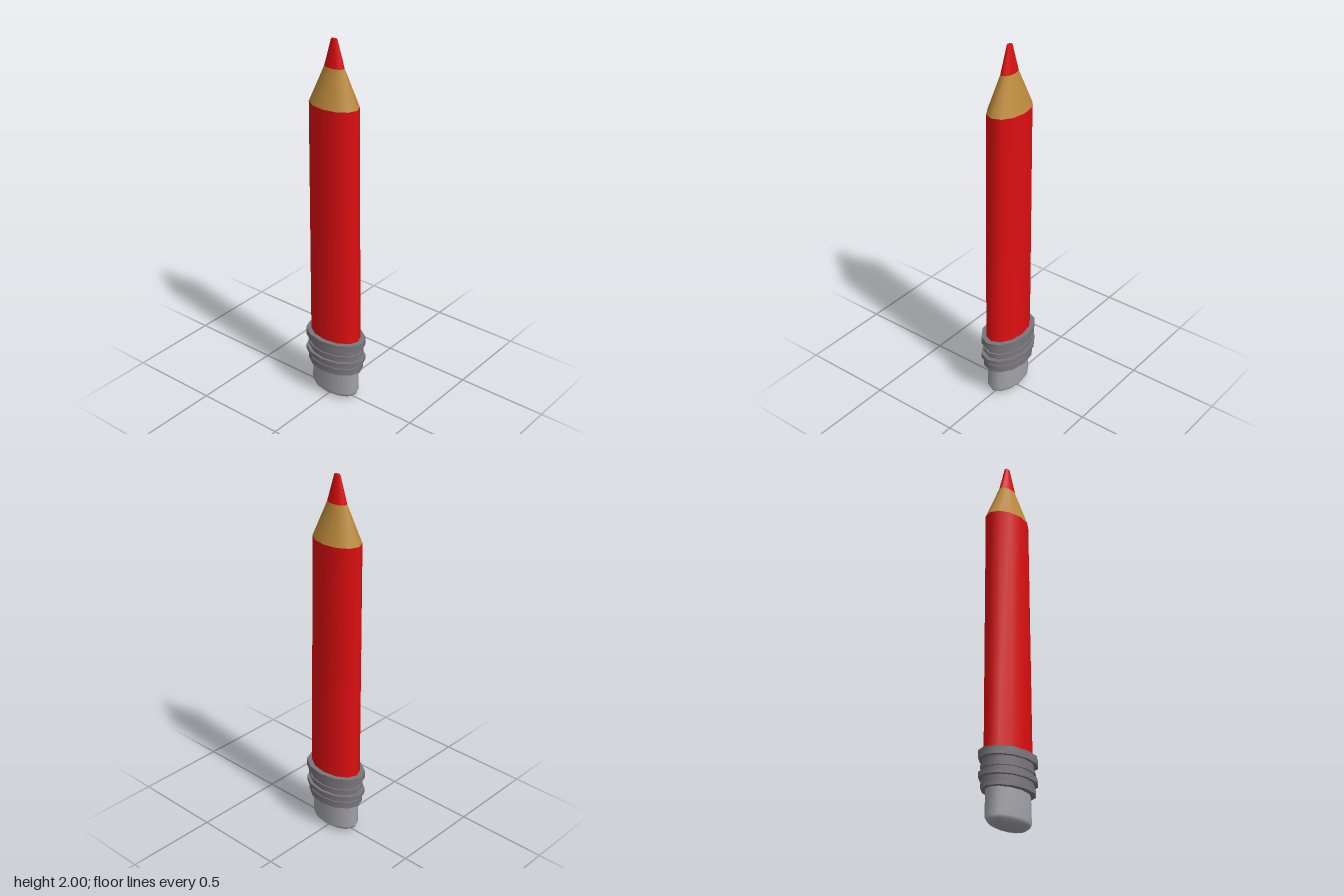
import * as THREE from 'three';
import { mergeGeometries } from 'three/addons/utils/BufferGeometryUtils.js';

const SIDES = 12;

// Smooth elliptical strip through rings [y, centreX, radiusX, radiusZ], listed bottom to top
function strip(rings) {
  const pos = [], index = [];
  for (const [y, cx, rx, rz] of rings) {
    for (let i = 0; i < SIDES; i++) {
      const a = (i / SIDES) * Math.PI * 2;
      pos.push(cx + rx * Math.cos(a), y, rz * Math.sin(a));
    }
  }
  for (let r = 0; r < rings.length - 1; r++) {
    for (let i = 0; i < SIDES; i++) {
      const j = (i + 1) % SIDES;
      const a = r * SIDES + i, b = r * SIDES + j, c = a + SIDES, d = b + SIDES;
      index.push(a, c, b, b, c, d);
    }
  }
  const g = new THREE.BufferGeometry();
  g.setAttribute('position', new THREE.Float32BufferAttribute(pos, 3));
  g.setIndex(index);
  g.computeVertexNormals();
  return g;
}

// Every pair of neighbouring rings becomes its own strip, so the edges stay sharp
function creased(rings) {
  return mergeGeometries(rings.slice(1).map((ring, i) => strip([rings[i], ring])));
}

export function createModel() {
  const group = new THREE.Group();
  group.name = 'pencil';
  const material = (name, color) => {
    const m = new THREE.MeshStandardMaterial({ color });
    m.name = name;
    return m;
  };
  const red = material('red paint', 0xdd0e10);
  const wood = material('bare wood', 0xbb893b);
  const metal = material('grey metal', 0x78767b);
  const rubber = material('light grey rubber', 0xa3a2a7);
  const add = (name, geometry, mat) => {
    const mesh = new THREE.Mesh(geometry, mat);
    mesh.name = name;
    group.add(mesh);
  };

  // Painted shaft, leaning slightly towards the top
  const shoulder = [1.67, -0.01, 0.141, 0.092];
  add('shaft', strip([[0.34, 0, 0.151, 0.094], shoulder]), red);

  // Sharpened cone and coloured lead
  const leadBase = [1.86, -0.009, 0.058, 0.031];
  const leadTop = [2, -0.01, 0.017, 0.011];
  add('sharpenedWood', strip([shoulder, leadBase]), wood);
  add('lead', creased([leadBase, leadTop, [2, -0.01, 0, 0]]), red);

  // Ribbed metal ferrule: [bottom, top, radiusX, radiusZ] for each band
  const bands = [
    [0.173, 0.21, 0.165, 0.111],
    [0.21, 0.228, 0.156, 0.105],
    [0.228, 0.254, 0.18, 0.12],
    [0.254, 0.273, 0.156, 0.105],
    [0.273, 0.291, 0.167, 0.112],
    [0.291, 0.323, 0.156, 0.105],
    [0.323, 0.364, 0.18, 0.12],
  ];
  const ferrule = [[0.173, 0, 0.13, 0.075]];
  for (const [y0, y1, rx, rz] of bands) ferrule.push([y0, 0, rx, rz], [y1, 0, rx, rz]);
  ferrule.push([0.364, 0, 0.14, 0.085]);
  add('ferrule', creased(ferrule), metal);

  // Eraser with a rounded lower edge
  const eraserBase = [0, 0, 0.1, 0.05];
  add('eraser', mergeGeometries([
    strip([[0, 0, 0, 0], eraserBase]),
    strip([
      eraserBase, [0.008, 0, 0.122, 0.064], [0.02, 0, 0.138, 0.077],
      [0.036, 0, 0.146, 0.085], [0.19, 0, 0.141, 0.083],
    ]),
  ]), rubber);

  return group;
}
